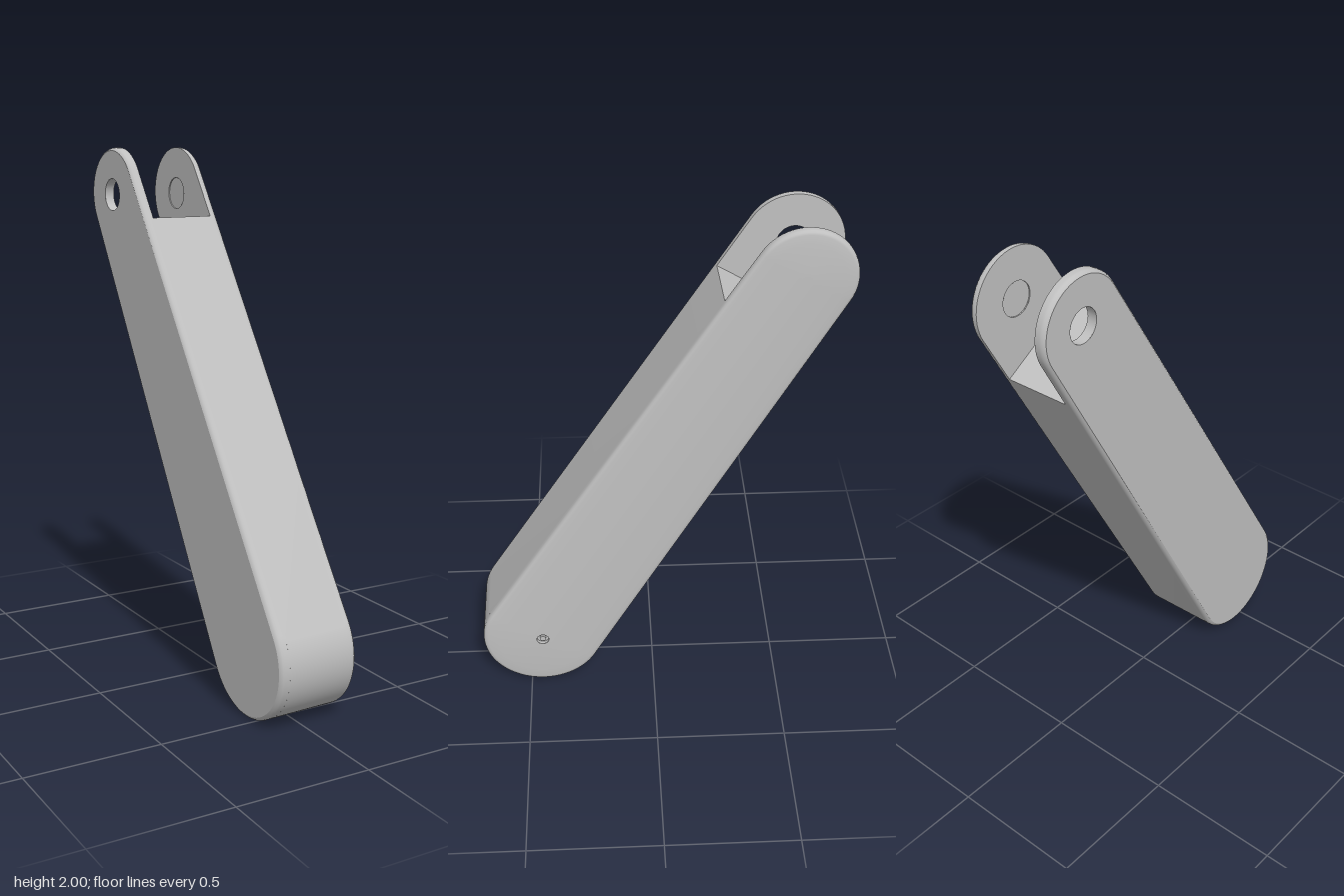
import * as THREE from 'three';
import { toCreasedNormals } from 'three/addons/utils/BufferGeometryUtils.js';

// Arm frame: y runs from the lower to the upper pivot, z across the thickness
const LOW = new THREE.Vector3(0.02, 0.236, 0.448);
const HIGH = new THREE.Vector3(-0.02, 1.82, -0.505);
const R1 = 0.236, R2 = 0.18, L = LOW.distanceTo(HIGH);
const TILT = Math.asin((R1 - R2) / L);
const INNER = -0.128, SEAM = 0.121, CUT = 1.64;

const arc = (r, cy, from, to, n) => Array.from({ length: n + 1 }, (_, i) => {
  const a = from + (to - from) * i / n;
  return new THREE.Vector2(r * Math.cos(a), cy + r * Math.sin(a));
});

// Outline around both pivots, counter-clockwise, with the radii scaled by s
const outline = s => [
  ...arc(R2 * s, L, TILT, Math.PI - TILT, 32),
  ...arc(R1 * s, 0, Math.PI - TILT, 2 * Math.PI + TILT, 36),
];

// Flat outline with an optional round hole
function face(s, hole) {
  const shape = new THREE.Shape(outline(s));
  if (hole) shape.holes.push(new THREE.Path().absarc(0, hole.y, hole.r, 0, Math.PI * 2, true));
  return new THREE.ShapeGeometry(shape, 24);
}

// Rounded rim through rings of [scale, height]
function rim(profile) {
  const pos = [], index = [];
  const n = outline(1).length;
  profile.forEach(([s, h]) => outline(s).forEach(p => pos.push(p.x, p.y, h)));
  for (let k = 0; k < profile.length - 1; k++) {
    for (let i = 0; i < n; i++) {
      const a = k * n + i, b = k * n + (i + 1) % n;
      index.push(a, b, b + n, a, b + n, a + n);
    }
  }
  const g = new THREE.BufferGeometry();
  g.setAttribute('position', new THREE.Float32BufferAttribute(pos, 3));
  g.setIndex(index);
  g.computeVertexNormals();
  return g;
}

export function createModel() {
  const grey = new THREE.MeshStandardMaterial({ color: 0xc0c0c0, side: THREE.DoubleSide });
  grey.name = 'light grey';

  const add = (parent, name, geometry, z = 0, y = 0) => {
    const mesh = new THREE.Mesh(geometry, grey);
    mesh.name = name;
    mesh.position.set(0, y, z);
    parent.add(mesh);
    return mesh;
  };
  const wall = (r, depth) => new THREE.CylinderGeometry(r, r, depth, 32, 1, true)
    .rotateX(Math.PI / 2).translate(0, 0, depth / 2);
  const back = g => g.rotateY(Math.PI);

  const arm = new THREE.Group();
  arm.name = 'arm';

  // Solid body with a round foot and a square cut at the top
  const top = (CUT - R1 * Math.sin(TILT)) / (L + (R2 - R1) * Math.sin(TILT));
  const half = (R1 + (R2 - R1) * top) * Math.cos(TILT);
  const bodyShape = new THREE.Shape([
    new THREE.Vector2(half, CUT), new THREE.Vector2(-half, CUT),
    ...arc(R1, 0, Math.PI - TILT, 2 * Math.PI + TILT, 48),
  ]);
  const body = new THREE.ExtrudeGeometry(bodyShape, { depth: SEAM - INNER, bevelEnabled: false });
  add(arm, 'body', toCreasedNormals(body, 0.5), INNER);

  // Pierced side plate with a rounded outer edge
  const plate = new THREE.Group();
  plate.name = 'piercedPlate';
  plate.rotation.y = Math.PI;
  plate.position.z = INNER;
  const bore = { y: L, r: 0.062 };
  const plateProfile = [[1, 0], [1, 0.018], [0.992, 0.026], [0.97, 0.033], [0.94, 0.037]];
  add(plate, 'plateRim', rim(plateProfile));
  add(plate, 'plateOuterFace', face(0.94, bore), 0.037);
  add(plate, 'plateInnerFace', back(face(1, bore)));
  add(plate, 'boreWall', wall(bore.r, 0.037), 0, L);
  arm.add(plate);

  // Slightly crowned cover on the other side
  const cover = new THREE.Group();
  cover.name = 'cover';
  cover.position.z = SEAM;
  const screw = { y: 0, r: 0.024 };
  const coverProfile = [[1, 0], [1, 0.012], [0.99, 0.02], [0.965, 0.026], [0.92, 0.029],
    [0.75, 0.0325], [0.5, 0.0355], [0.25, 0.0375], [0.11, 0.038]];
  add(cover, 'coverShell', rim(coverProfile));
  add(cover, 'coverCrest', face(0.11, screw), 0.038);
  add(cover, 'coverInnerFace', back(face(1, bore)));

  // Shallow blind recess facing the bore
  add(cover, 'recessWall', wall(bore.r, 0.004), 0, L);
  add(cover, 'recessFloor', back(new THREE.CircleGeometry(bore.r, 32)), 0.004, L);

  // Sunken pin at the lower pivot
  add(cover, 'pinWell', wall(screw.r, 0.014), 0.024);
  add(cover, 'pinWellFloor', new THREE.CircleGeometry(screw.r, 32), 0.024);
  add(cover, 'pin', new THREE.CylinderGeometry(0.012, 0.012, 0.01, 24).rotateX(Math.PI / 2), 0.029);
  arm.add(cover);

  // Lean the arm backward with its slight sideways tilt
  const along = HIGH.clone().sub(LOW).normalize();
  const across = new THREE.Vector3(1, 0.0125, -0.021);
  across.addScaledVector(along, -across.dot(along)).normalize();
  const side = along.clone().cross(across);
  arm.quaternion.setFromRotationMatrix(new THREE.Matrix4().makeBasis(side, along, across));
  arm.position.copy(LOW);

  const model = new THREE.Group();
  model.name = 'leaningArm';
  model.add(arm);
  return model;
}
